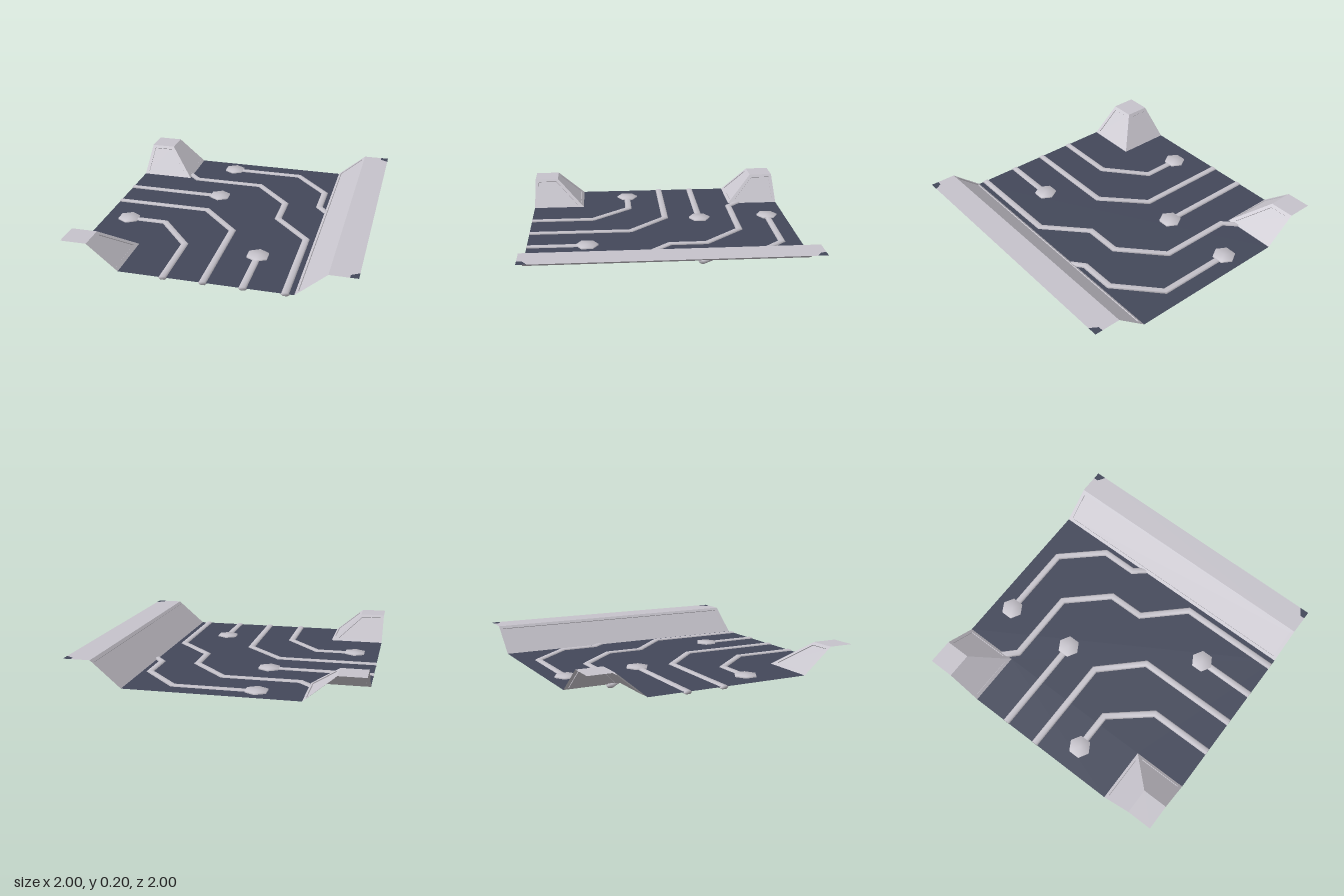
import * as THREE from 'three';
import { mergeVertices } from 'three/addons/utils/BufferGeometryUtils.js';

const FLOOR = 0.02, TOP = 0.2, PIPE_Y = 0.016;
const V = (x, y, z) => new THREE.Vector3(x, y, z);

// Flat-shaded surface from a list of four-cornered faces
function quadGeometry(quads) {
  const pts = [];
  for (const [a, b, c, d] of quads) pts.push(a, b, c, a, c, d);
  const g = new THREE.BufferGeometry().setFromPoints(pts);
  g.computeVertexNormals();
  return g;
}

// Frame, shallow rim and sunken plate inside a four-cornered slope
function recessedPanel(corners, margin = 0.026, depth = 0.006) {
  const n = V().crossVectors(corners[1].clone().sub(corners[0]), corners[2].clone().sub(corners[0])).normalize();
  const inner = corners.map((c, i) => {
    const u = corners[(i + 1) % 4].clone().sub(c).normalize();
    const w = corners[(i + 3) % 4].clone().sub(c).normalize();
    const s = margin / V().crossVectors(u, w).length();
    return c.clone().addScaledVector(u.add(w), s);
  });
  const sunk = inner.map(p => p.clone().addScaledVector(n, -depth));
  const quads = [sunk];
  for (let i = 0; i < 4; i++) {
    const j = (i + 1) % 4;
    quads.push([corners[i], corners[j], inner[j], inner[i]], [inner[i], inner[j], sunk[j], sunk[i]]);
  }
  return quadGeometry(quads);
}

// Horizontal sheet from [x, z] outline
function sheet(outline, y) {
  const g = new THREE.ShapeGeometry(new THREE.Shape(outline.map(([x, z]) => new THREE.Vector2(x, -z))));
  return g.rotateX(-Math.PI / 2).translate(0, y, 0);
}

// Flattened six-sided pipe with mitred bends along [x, z] points
function pipeGeometry(path, halfWidth = 0.03, halfHeight = 0.015) {
  const p = path.map(([x, z]) => new THREE.Vector2(x, z));
  const pos = [], index = [], N = 6;
  p.forEach((c, i) => {
    const d0 = (i ? c.clone().sub(p[i - 1]) : p[1].clone().sub(c)).normalize();
    const d1 = (i < p.length - 1 ? p[i + 1].clone().sub(c) : d0.clone()).normalize();
    const t = d0.clone().add(d1).normalize();
    const w = halfWidth / t.dot(d0);
    for (let k = 0; k < N; k++) {
      const a = k / N * Math.PI * 2, s = Math.cos(a) * w;
      pos.push(c.x - t.y * s, PIPE_Y + Math.sin(a) * halfHeight, c.y + t.x * s);
    }
  });
  for (let i = 0; i < p.length - 1; i++) {
    for (let k = 0; k < N; k++) {
      const a = i * N + k, b = i * N + (k + 1) % N;
      index.push(a, b, a + N, b, b + N, a + N);
    }
  }
  const e = (p.length - 1) * N;
  for (let k = 1; k < N - 1; k++) index.push(0, k + 1, k, e, e + k, e + k + 1);
  const g = new THREE.BufferGeometry();
  g.setAttribute('position', new THREE.Float32BufferAttribute(pos, 3));
  g.setIndex(index);
  g.computeVertexNormals();
  return g;
}

// Softly shaded hexagonal pad
function padGeometry() {
  let g = new THREE.CylinderGeometry(0.082, 0.082, 0.032, 6);
  g.deleteAttribute('normal');
  g.deleteAttribute('uv');
  g = mergeVertices(g);
  g.computeVertexNormals();
  return g;
}

export function createModel() {
  const group = new THREE.Group();
  const metal = new THREE.MeshStandardMaterial({ name: 'paleMetal', color: 0xc6c3cb, side: THREE.DoubleSide });
  const dark = new THREE.MeshStandardMaterial({ name: 'darkSlate', color: 0x43485a, side: THREE.DoubleSide });
  const add = (name, geometry, material = metal) => {
    const m = new THREE.Mesh(geometry, material);
    m.name = name;
    group.add(m);
    return m;
  };

  // Floor, notched under the two pillars
  add('floor', sheet([[-1, 0.6], [-0.6, 0.6], [-0.6, 1], [0.6, 1], [0.6, -1],
    [-0.6, -1], [-0.6, -0.6], [-1, -0.6]], FLOOR), dark);

  // Sloping side wall and its ledge
  add('sideWall', recessedPanel([V(0.6, FLOOR, -1), V(0.6, FLOOR, 1), V(0.81, TOP, 1), V(0.81, TOP, -1)]));
  add('wallLedge', sheet([[0.81, 1], [0.945, 1], [0.945, 0.965], [1, 0.93],
    [1, -0.93], [0.945, -0.965], [0.945, -1], [0.81, -1]], TOP));

  for (const s of [-1, 1]) {
    // Dark inlays at the ledge ends
    const inlay = [[0.945, s], [1, s], [1, 0.93 * s], [0.945, 0.965 * s]];
    add('ledgeInlay', sheet(s > 0 ? inlay : inlay.reverse(), TOP), dark);

    // Corner pillars: two recessed slopes and a flat cap
    const m = 0.6, t = 0.815;
    const slopes = {
      pillarInnerSlope: [V(-1, FLOOR, m * s), V(-m, FLOOR, m * s), V(-t, TOP, t * s), V(-1, TOP, t * s)],
      pillarSideSlope: [V(-m, FLOOR, m * s), V(-m, FLOOR, s), V(-t, TOP, s), V(-t, TOP, t * s)],
    };
    for (const [name, c] of Object.entries(slopes)) add(name, recessedPanel(s < 0 ? c : c.reverse()));
    add('pillarCap', sheet([[-1, s], [-t, s], [-t, t * s], [-1, t * s]], TOP));
  }

  // Pipes running through the floor
  const pipes = [
    [[-0.28, -0.86], [0.285, -0.86], [0.545, -0.575], [0.545, -0.31], [0.615, -0.225]],
    [[-0.63, -0.69], [-0.53, -0.59], [0.01, -0.59], [0.275, -0.305], [0.275, -0.035], [0.54, 0.245], [0.54, 1]],
    [[-1, -0.315], [-0.26, -0.315]],
    [[-1, -0.045], [-0.285, -0.045], [-0.01, 0.24], [-0.01, 1]],
    [[-0.82, 0.235], [-0.53, 0.235], [-0.285, 0.525], [-0.285, 1]],
    [[0.26, 0.55], [0.26, 1]],
  ];
  for (const path of pipes) add('pipe', pipeGeometry(path));

  // Hexagonal pads at pipe ends
  for (const [x, z] of [[-0.28, -0.86], [-0.26, -0.315], [-0.82, 0.235], [0.26, 0.565]]) {
    add('pipePad', padGeometry()).position.set(x, PIPE_Y, z);
  }
  return group;
}
